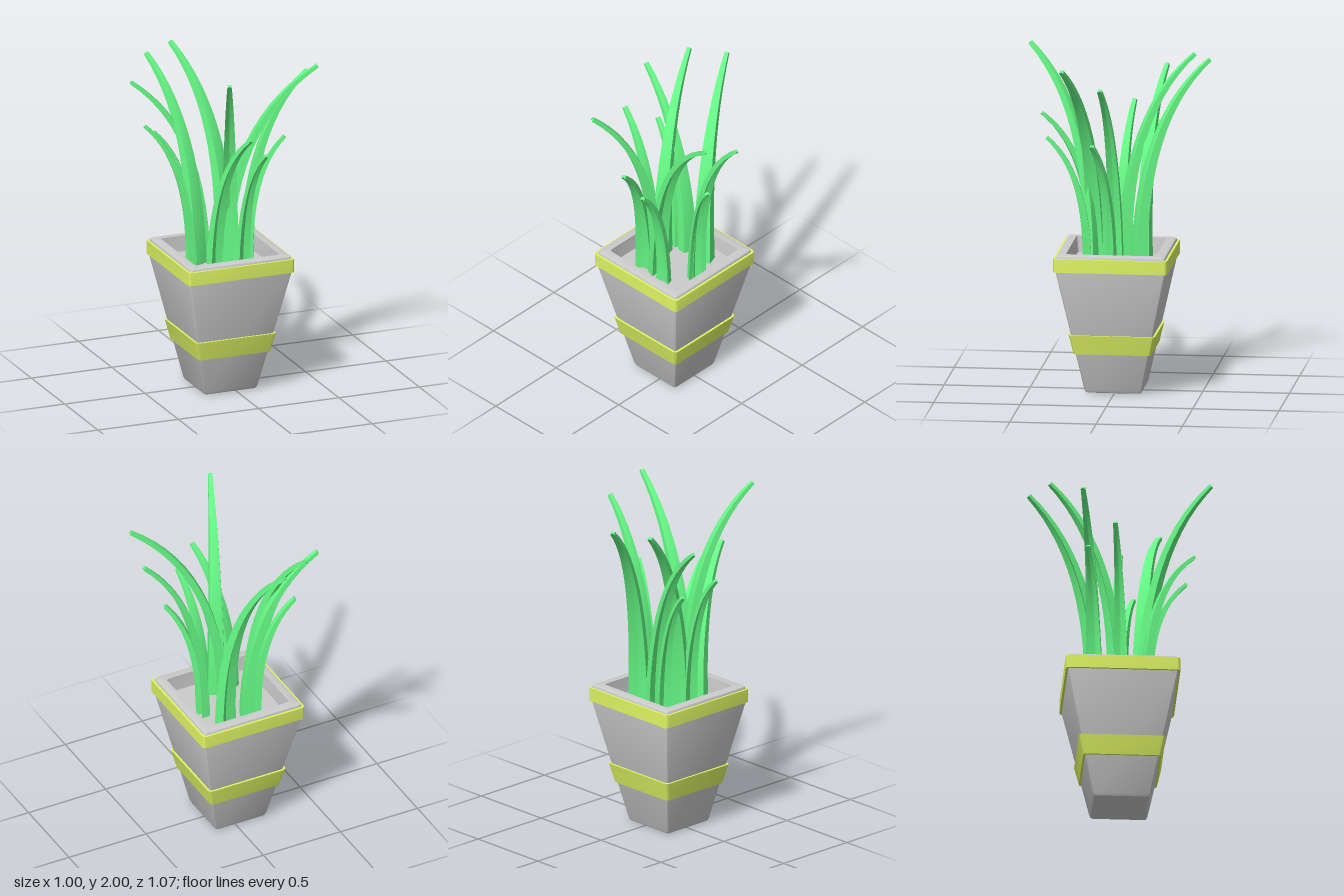
import * as THREE from 'three';
import { toCreasedNormals } from 'three/addons/utils/BufferGeometryUtils.js';

// Skin a stack of equal-length closed rings (counter-clockwise about the path).
function loft(rings, caps = true, crease = 0.5) {
  const pos = [];
  const tri = (...pts) => pts.forEach((p) => pos.push(p.x, p.y, p.z));
  const n = rings[0].length;
  for (let i = 0; i < rings.length - 1; i++) {
    for (let j = 0; j < n; j++) {
      const k = (j + 1) % n;
      const a = rings[i][j], b = rings[i][k], c = rings[i + 1][k], d = rings[i + 1][j];
      tri(a, b, c);
      tri(a, c, d);
    }
  }
  if (caps) {
    const centre = (ring) => ring.reduce((s, p) => s.add(p), new THREE.Vector3()).divideScalar(n);
    const first = rings[0], last = rings[rings.length - 1];
    const c0 = centre(first), c1 = centre(last);
    for (let j = 0; j < n; j++) {
      const k = (j + 1) % n;
      tri(c0, first[k], first[j]);
      tri(c1, last[j], last[k]);
    }
  }
  const g = new THREE.BufferGeometry();
  g.setAttribute('position', new THREE.Float32BufferAttribute(pos, 3));
  return toCreasedNormals(g, crease);
}

// Horizontal square ring with rounded corners.
function squareRing(half, y, r = 0.015) {
  const ring = [];
  for (let q = 0; q < 4; q++) {
    for (let s = 0; s <= 3; s++) {
      const a = (q + s / 3) * Math.PI / 2;
      const m = (q + 0.5) * Math.PI / 2;
      const x = Math.sign(Math.cos(m)) * (half - r) + r * Math.cos(a);
      const z = Math.sign(Math.sin(m)) * (half - r) + r * Math.sin(a);
      ring.push(new THREE.Vector3(x, y, -z));
    }
  }
  return ring;
}

// Blade cross-section: four-cornered, hollowed on the side facing away from the plant.
const bladeSection = [[0.5, -0.5], [0.45, 0.42], [0, 0.5], [-0.45, 0.42], [-0.5, -0.5], [0, -0.12]];

// A tapering blade that rises straight up and then arches over to its tip.
function bladeGeometry(bx, bz, tip, width) {
  const base = new THREE.Vector3(bx, 0.73, bz);
  const end = new THREE.Vector3(...tip);
  const bend = new THREE.Vector3(bx, base.y + 0.72 * (end.y - base.y), bz);
  const curve = new THREE.QuadraticBezierCurve3(base, bend, end);
  const out = new THREE.Vector3(end.x - bx, 0, end.z - bz).normalize();
  const side = new THREE.Vector3(0, 1, 0).cross(out);
  const rings = [];
  const steps = 14;
  for (let i = 0; i <= steps; i++) {
    const t = i / steps;
    const centre = curve.getPoint(t);
    const normal = curve.getTangent(t).cross(side);
    const w = THREE.MathUtils.lerp(width, 0.026, t);
    const depth = THREE.MathUtils.lerp(width * 0.6, 0.022, t);
    rings.push(bladeSection.map(([u, v]) =>
      centre.clone().addScaledVector(side, u * w).addScaledVector(normal, v * depth)));
  }
  return loft(rings, true, 0.4);
}

export function createModel() {
  const group = new THREE.Group();
  const grey = new THREE.MeshStandardMaterial({ color: 0xcccccc });
  const yellow = new THREE.MeshStandardMaterial({ color: 0xdff563 });
  const green = new THREE.MeshStandardMaterial({ color: 0x66fa86 });

  const add = (parent, name, geometry, material) => {
    const mesh = new THREE.Mesh(geometry, material);
    mesh.name = name;
    parent.add(mesh);
  };

  // Square planter, slightly off the centre of the foliage
  const planter = new THREE.Group();
  planter.name = 'planter';
  planter.position.set(-0.034, 0, 0.005);
  group.add(planter);

  // Pot profile: underside, tapered wall, rim, inner wall, recessed floor
  const profile = [
    [0.15, 0], [0.16, 0.004], [0.167, 0.018], [0.317, 0.73], [0.317, 0.815],
    [0.312, 0.828], [0.3, 0.833], [0.262, 0.833], [0.254, 0.74],
  ];
  add(planter, 'pot', loft(profile.map(([h, y]) => squareRing(h, y))), grey);

  // Coloured bands wrapped around the wall: [half width, height] at bottom and top
  const band = (h0, y0, h1, y1) => loft([
    squareRing(h0 - 0.03, y0), squareRing(h0, y0, 0.022),
    squareRing(h1, y1, 0.022), squareRing(h1 - 0.03, y1),
  ], false);
  add(planter, 'upperBand', band(0.33, 0.736, 0.33, 0.815), yellow);
  add(planter, 'lowerBand', band(0.225, 0.238, 0.25, 0.352), yellow);

  // Blades: base x, base z, tip, base width
  const leaves = new THREE.Group();
  leaves.name = 'leaves';
  group.add(leaves);
  [
    [0.06, -0.135, [-0.125, 1.925, -0.525], 0.12],
    [-0.165, -0.025, [-0.32, 1.915, -0.415], 0.11],
    [-0.07, -0.145, [-0.49, 1.815, -0.235], 0.1],
    [-0.21, 0.0, [-0.48, 1.605, -0.048], 0.085],
    [0.13, -0.01, [0.493, 1.85, 0.04], 0.095],
    [0.14, 0.02, [0.324, 1.487, 0.104], 0.08],
    [-0.05, 0.125, [0.463, 1.95, 0.264], 0.11],
    [-0.03, 0.14, [-0.19, 1.988, 0.522], 0.11],
    [-0.13, 0.15, [-0.025, 1.607, 0.434], 0.095],
    [0.04, 0.165, [0.088, 1.487, 0.394], 0.08],
    [-0.14, -0.14, [-0.362, 1.507, -0.2], 0.08],
  ].forEach(([x, z, tip, w], i) => add(leaves, `leaf${i + 1}`, bladeGeometry(x, z, tip, w), green));

  return group;
}
